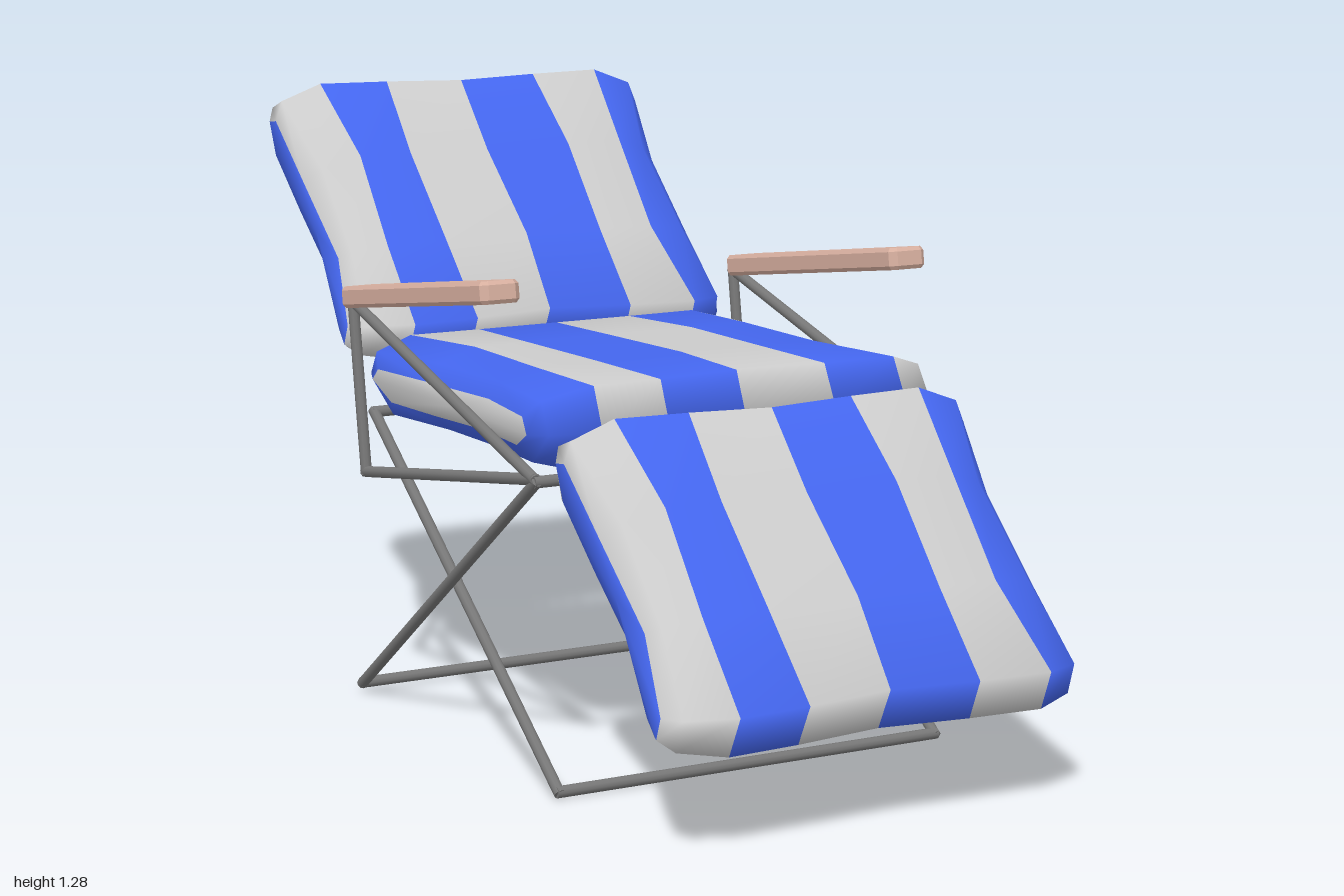
import * as THREE from 'three';

const mat = (color) => new THREE.MeshStandardMaterial({ color });
const GREY = mat(0xcccccc);
const BLUE = mat(0x4466ee);
const STEEL = mat(0x777777);
const WOOD = mat(0xd8b0a0);

// Side outline of a cushion: [along its length, through its thickness]
const PROFILE = [
  [-0.345, 0.088], [-0.13, 0.094], [0.12, 0.094], [0.335, 0.092], [0.367, 0.005],
  [0.29, -0.088], [0.1, -0.094], [-0.1, -0.094], [-0.29, -0.09], [-0.368, 0.02],
];
// Cross-sections over the width: [x, length scale, thickness scale]
const COLUMNS = [
  [-0.462, 0.84, 0.36], [-0.435, 0.93, 0.72], [-0.345, 1, 1], [-0.19, 0.99, 1], [0, 0.965, 1.02],
  [0.195, 0.99, 1], [0.35, 1, 1], [0.435, 0.93, 0.72], [0.465, 0.84, 0.36],
];
// Stripe number of each gap between columns
const STRIPE = [0, 0, 1, 2, 3, 4, 5, 5];

// Striped cushion: one smooth skin, split into strips sharing its normals
function cushion(name, lengthScale, firstBlue, rims) {
  const n = PROFILE.length;
  const pos = [];
  COLUMNS.forEach(([x, ls, ts], c) => {
    PROFILE.forEach(([u, v]) => {
      const t = u / 0.37;
      const waist = Math.abs(x) > 0.3 ? 1 - 0.07 * (1 - t * t) : 1; // sides pulled in
      const wave = 0.008 * Math.sin(t * 4 + c * 1.7); // uneven stripe edges
      pos.push(x * waist + wave, v * ts, u * ls * lengthScale);
    });
  });
  const last = COLUMNS.length - 1;
  const capL = pos.length / 3;
  pos.push(-0.437, 0, 0, 0.437, 0, 0);

  const strips = [[], [], [], [], [], []];
  const leftRim = [], rightRim = [];
  for (let i = 0; i < n; i++) {
    const j = (i + 1) % n;
    for (let c = 0; c < last; c++) {
      const a = c * n + i, b = c * n + j;
      strips[STRIPE[c]].push(a, b, a + n, b, b + n, a + n);
    }
    leftRim.push(capL, j, i);
    rightRim.push(capL + 1, last * n + i, last * n + j);
  }
  const parts = [...strips, leftRim, rightRim];
  const skin = new THREE.BufferGeometry();
  skin.setAttribute('position', new THREE.Float32BufferAttribute(pos, 3));
  skin.setIndex(parts.flat());
  skin.computeVertexNormals();

  const g = new THREE.Group();
  g.name = name;
  parts.forEach((index, k) => {
    const geo = new THREE.BufferGeometry();
    geo.setAttribute('position', skin.getAttribute('position'));
    geo.setAttribute('normal', skin.getAttribute('normal'));
    geo.setIndex(index);
    const material = k < 6 ? ((k % 2 === 0) === firstBlue ? BLUE : GREY) : rims[k - 6];
    const mesh = new THREE.Mesh(geo, material);
    mesh.name = k < 6 ? 'stripe' : 'rim';
    g.add(mesh);
  });
  return g;
}

// Straight steel tube between two points
function tube(name, a, b, r = 0.012) {
  const p = new THREE.Vector3(...a), q = new THREE.Vector3(...b);
  const d = q.clone().sub(p);
  const mesh = new THREE.Mesh(new THREE.CylinderGeometry(r, r, d.length() + r, 10), STEEL);
  mesh.name = name;
  mesh.position.copy(p).add(q).multiplyScalar(0.5);
  mesh.quaternion.setFromUnitVectors(new THREE.Vector3(0, 1, 0), d.normalize());
  return mesh;
}

// Rectangular leg frame: two slanted legs joined at foot and top
function legFrame(name, x, foot, top) {
  const g = new THREE.Group();
  g.name = name;
  for (const s of [-1, 1]) g.add(tube('leg', [s * x, ...foot], [s * x, ...top]));
  g.add(tube('footBar', [-x, ...foot], [x, ...foot]));
  g.add(tube('topBar', [-x, ...top], [x, ...top]));
  return g;
}

// Wooden armrest with clipped corners
function armrest() {
  const w = 0.043, l = 0.36, k = 0.014;
  const s = new THREE.Shape([
    [-w + k, -l], [w - k, -l], [w, -l + k], [w, l - k],
    [w - k, l], [-w + k, l], [-w, l - k], [-w, -l + k],
  ].map(([x, y]) => new THREE.Vector2(x, y)));
  const geo = new THREE.ExtrudeGeometry(s, {
    depth: 0.03, bevelEnabled: true, bevelThickness: 0.008, bevelSize: 0.006,
    bevelOffset: -0.006, bevelSegments: 1,
  });
  geo.translate(0, 0, -0.015);
  geo.rotateX(-Math.PI / 2);
  const mesh = new THREE.Mesh(geo, WOOD);
  mesh.name = 'armrest';
  return mesh;
}

export function createModel() {
  const model = new THREE.Group();
  model.name = 'reclinerChair';

  // Three cushions
  const legRest = cushion('legRestCushion', 1, false, [BLUE, GREY]);
  legRest.position.set(0, 0.465, 0.692);
  legRest.rotation.x = Math.PI / 4;
  const back = cushion('backCushion', 1, false, [BLUE, GREY]);
  back.position.set(0, 0.982, -0.74);
  back.rotation.x = Math.PI / 4;
  const seat = cushion('seatCushion', 1.25, true, [GREY, GREY]);
  seat.position.set(0, 0.713, -0.01);
  seat.rotation.x = -0.03;
  model.add(legRest, back, seat);

  // Crossed leg frames
  model.add(legFrame('innerLegFrame', 0.438, [0.018, 0.45], [0.63, -0.43]));
  model.add(legFrame('outerLegFrame', 0.466, [0.025, -0.45], [0.64, 0.415]));

  // Armrests with their triangular brackets
  for (const s of [-1, 1]) {
    const side = new THREE.Group();
    side.name = s > 0 ? 'leftArm' : 'rightArm';
    const x = s * 0.468;
    const front = [x, 0.645, 0.41], low = [x, 0.505, -0.41], high = [x, 0.868, -0.467];
    side.add(tube('upperBrace', front, high));
    side.add(tube('lowerBrace', front, low));
    side.add(tube('rearPost', low, high));
    const arm = armrest();
    arm.position.set(s * 0.47, 0.94, -0.078);
    arm.rotation.x = -0.155;
    side.add(arm);
    model.add(side);
  }
  return model;
}
